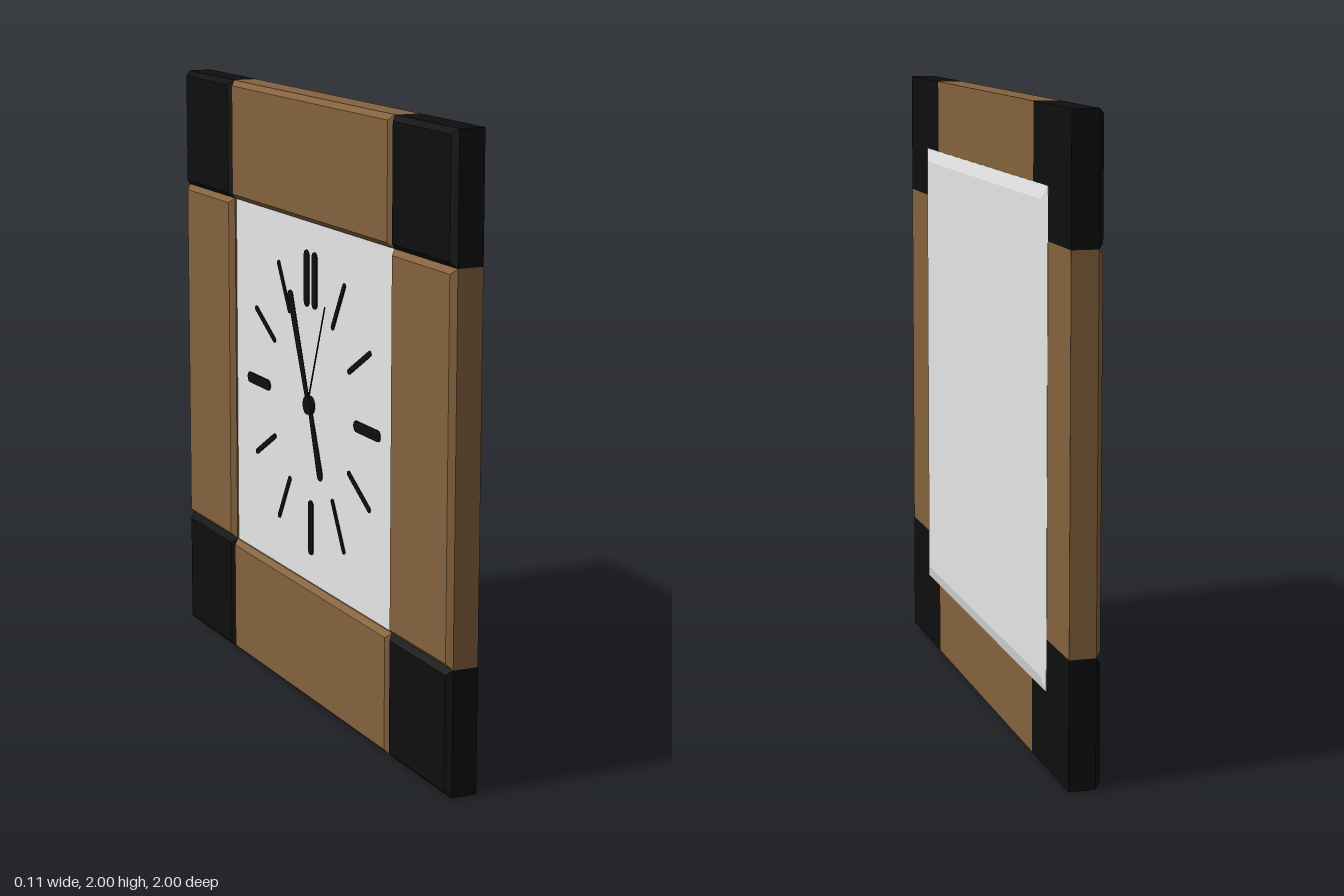
import * as THREE from 'three';

const material = (name, color) => {
  const m = new THREE.MeshStandardMaterial({ color });
  m.name = name;
  return m;
};

// Block from z0 to z1 whose face at z1 is inset by a chamfer starting at zMid
function chamferedBlock(w, h, z0, zMid, z1, inset) {
  const box = new THREE.BoxGeometry(w, h, 2, 1, 1, 2);
  const p = box.attributes.position;
  for (let i = 0; i < p.count; i++) {
    const level = Math.round(p.getZ(i)) + 1;
    p.setZ(i, [z0, zMid, z1][level]);
    if (level === 2) {
      p.setX(i, p.getX(i) - Math.sign(p.getX(i)) * inset);
      p.setY(i, p.getY(i) - Math.sign(p.getY(i)) * inset);
    }
  }
  const geometry = box.toNonIndexed();
  geometry.computeVertexNormals();
  return geometry;
}

// Flat bar with round ends from radius r0 to r1, half widths a and b
function baton(r0, r1, a, b, depth) {
  const s = new THREE.Shape();
  s.absarc(0, r1 - b, b, 0, Math.PI, false);
  s.absarc(0, r0 + a, a, Math.PI, Math.PI * 2, false);
  s.closePath();
  return new THREE.ExtrudeGeometry(s, { depth, bevelEnabled: false, curveSegments: 8 });
}

export function createModel() {
  const wood = material('brown wood', 0x84623d);
  const black = material('black', 0x0e0e0e);
  const white = material('off white', 0xe6e6e6);

  const model = new THREE.Group();
  model.name = 'wallClock';
  // The clock is built facing +z, then turned to face -x
  const clock = new THREE.Group();
  clock.name = 'clock';
  clock.position.y = 1;
  clock.rotation.y = -Math.PI / 2;
  model.add(clock);

  const add = (name, geometry, mat, x = 0, y = 0, z = 0, turn = 0) => {
    const mesh = new THREE.Mesh(geometry, mat);
    mesh.name = name;
    mesh.position.set(x, y, z);
    mesh.rotation.z = turn;
    clock.add(mesh);
    return mesh;
  };

  // Frame: four wooden rails and four black corner blocks
  const rail = chamferedBlock(1.2, 0.4, -0.042, 0.041, 0.058, 0.017);
  const corner = chamferedBlock(0.4, 0.4, -0.042, 0.041, 0.058, 0.017);
  for (let i = 0; i < 4; i++) {
    const a = i * Math.PI / 2;
    add('frameRail', rail, wood, -Math.sin(a) * 0.8, Math.cos(a) * 0.8, 0, a);
    add('cornerBlock', corner, black, i % 2 ? 0.8 : -0.8, i < 2 ? 0.8 : -0.8);
  }

  // Dial, and the chamfered panel on the back
  add('dial', new THREE.BoxGeometry(1.2, 1.2, 0.06), white, 0, 0, 0.006);
  const back = add('backPanel', chamferedBlock(1.525, 1.525, 0.02, 0.043, 0.053, 0.042), white);
  back.rotation.y = Math.PI;

  // Hour marks: broad at the quarters, doubled at twelve
  const broad = baton(0.32, 0.505, 0.018, 0.018, 0.004);
  const thin = baton(0.32, 0.505, 0.009, 0.009, 0.004);
  for (let h = 0; h < 12; h++) {
    const turn = -h * Math.PI / 6;
    if (h === 0) for (const x of [-0.03, 0.03]) add('hourMark', broad, black, x, 0, 0.036);
    else add('hourMark', h % 3 ? thin : broad, black, 0, 0, 0.036, turn);
  }

  // Hands and hub
  const deg = Math.PI / 180;
  add('hourHand', baton(0, 0.25, 0.013, 0.02, 0.003), black, 0, 0, 0.041, -160 * deg);
  add('minuteHand', baton(0, 0.385, 0.013, 0.02, 0.003), black, 0, 0, 0.045, 22 * deg);
  add('secondHand', baton(0, 0.37, 0.004, 0.003, 0.002), black, 0, 0, 0.049, -21 * deg);
  const hub = new THREE.CylinderGeometry(0.03, 0.03, 0.017, 24).rotateX(Math.PI / 2);
  add('hub', hub, black, 0, 0, 0.0445);

  return model;
}
